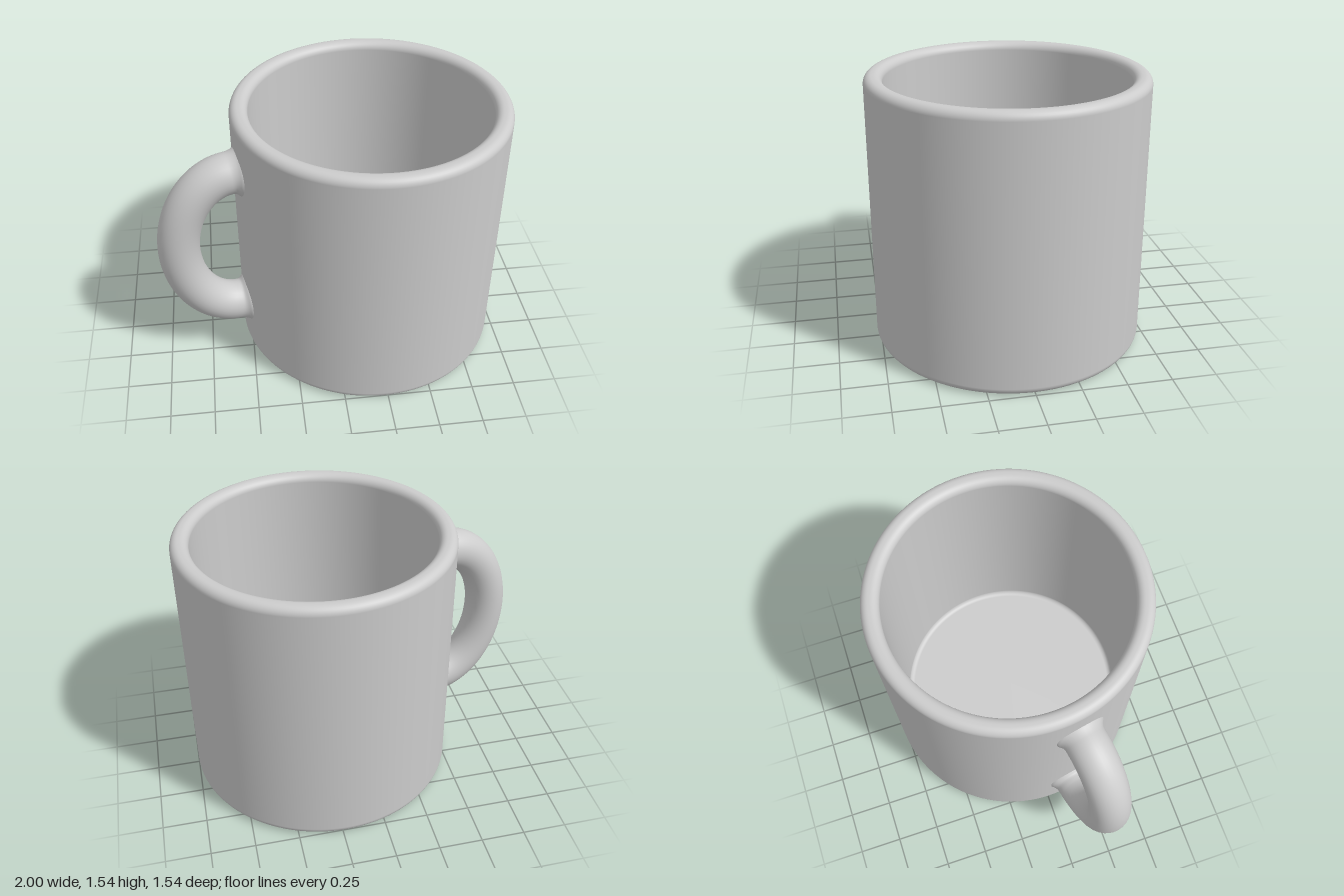
import * as THREE from 'three';
import { mergeVertices } from 'three/addons/utils/BufferGeometryUtils.js';

const R = 0.772, H = 1.54, INNER = 0.67, TUBE = 0.118;

// Turns corner points [radius, y, fillet] into a profile with rounded corners.
function roundedProfile(corners) {
  const pts = corners.map(([x, y]) => new THREE.Vector2(x, y));
  const out = [pts[0]];
  for (let i = 1; i < pts.length - 1; i++) {
    const r = corners[i][2], p = pts[i];
    const a = pts[i - 1].clone().sub(p).setLength(r);
    const b = pts[i + 1].clone().sub(p).setLength(r);
    const centre = p.clone().add(a).add(b);
    for (let k = 0; k <= 8; k++) {
      const t = (k / 8) * Math.PI / 2;
      out.push(centre.clone().addScaledVector(b, -Math.cos(t)).addScaledVector(a, -Math.sin(t)));
    }
  }
  out.push(pts[pts.length - 1]);
  return out;
}

// Handle loop in the XY plane, flared where it meets the cup wall.
function handleGeometry() {
  const path = [new THREE.Vector3(-0.70, 1.235, 0), new THREE.Vector3(-0.75, 1.235, 0)];
  for (let i = 0; i <= 16; i++) {
    const t = Math.PI / 2 - (i / 16) * Math.PI;
    path.push(new THREE.Vector3(-0.80 - 0.328 * Math.cos(t), 0.775 + 0.46 * Math.sin(t), 0));
  }
  path.push(new THREE.Vector3(-0.75, 0.315, 0), new THREE.Vector3(-0.70, 0.315, 0));
  const curve = new THREE.CatmullRomCurve3(path);
  const segments = 140, sides = 32;
  const geo = new THREE.TubeGeometry(curve, segments, TUBE, sides);
  const pos = geo.attributes.position, v = new THREE.Vector3();
  for (let i = 0; i <= segments; i++) {
    const c = curve.getPointAt(i / segments);
    const near = THREE.MathUtils.clamp((0.81 + c.x) / 0.05, 0, 1);
    const scale = 1 + 0.22 * near * near;
    for (let j = 0; j <= sides; j++) {
      const n = i * (sides + 1) + j;
      v.fromBufferAttribute(pos, n).sub(c).multiplyScalar(scale).add(c);
      pos.setXYZ(n, v.x, v.y, v.z);
    }
  }
  // Weld the seam so the shading stays smooth
  geo.deleteAttribute('uv');
  geo.deleteAttribute('normal');
  const welded = mergeVertices(geo, 1e-5);
  welded.computeVertexNormals();
  return welded;
}

export function createModel() {
  const group = new THREE.Group();
  const material = new THREE.MeshStandardMaterial({ color: 0xcccccc });

  // Cup: recessed base, foot ring, outer wall, rim, inner wall and floor
  const profile = roundedProfile([
    [0, 0.07],
    [0.65, 0.07, 0.012],
    [0.65, 0, 0.045],
    [R, 0, 0.045],
    [R, H, 0.045],
    [INNER, H, 0.045],
    [INNER, 0.17, 0.03],
    [0, 0.17],
  ]);
  const cup = new THREE.Mesh(new THREE.LatheGeometry(profile, 128), material);
  cup.name = 'cup';

  // Handle, swung slightly towards the front
  const handle = new THREE.Mesh(handleGeometry(), material);
  handle.name = 'handle';
  handle.rotation.y = 0.197;

  for (const part of [cup, handle]) {
    part.position.x = 0.228;
    group.add(part);
  }
  return group;
}
